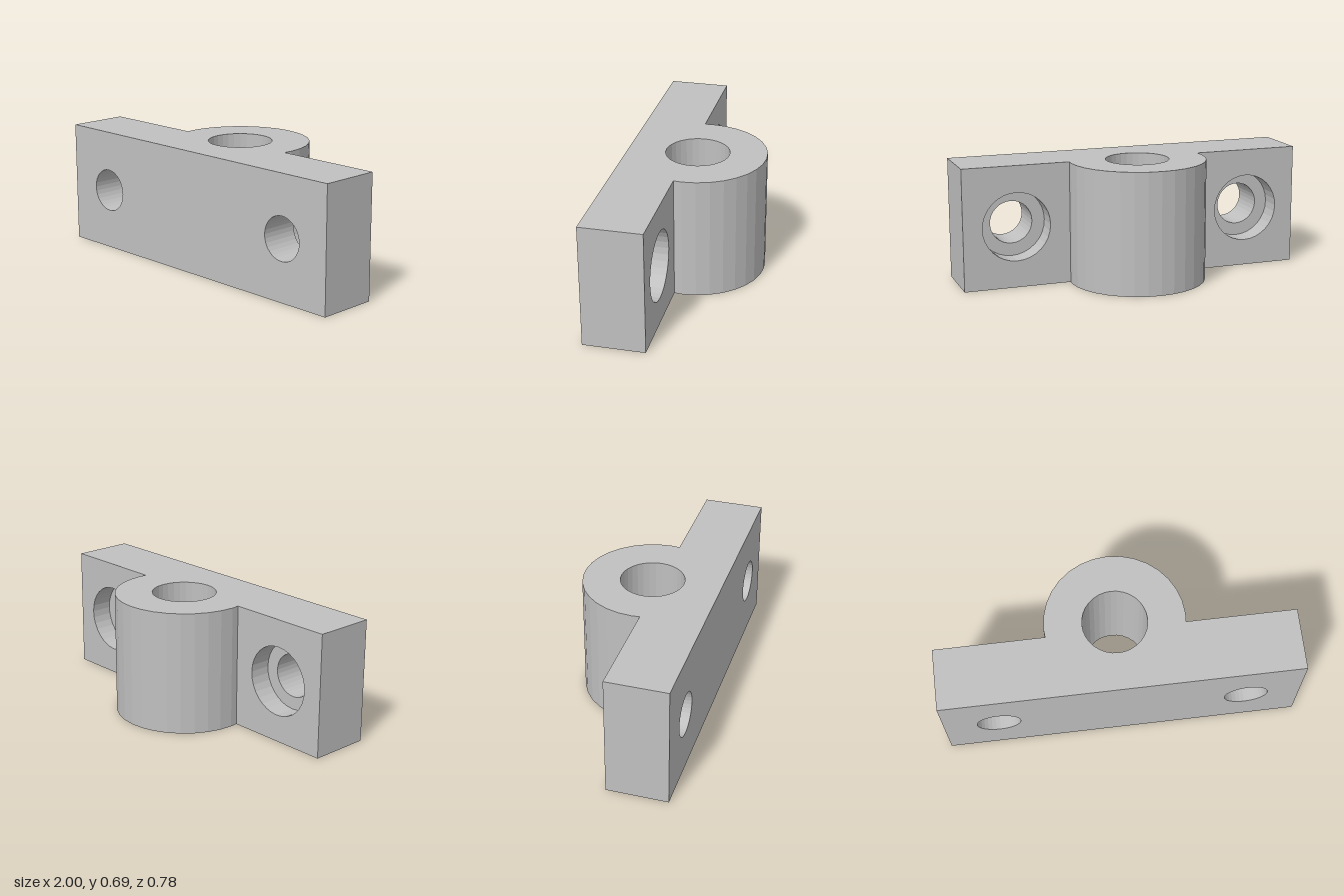
import * as THREE from 'three';

const HEIGHT = 0.695, FRONT = 0.39, BACK = 0.045;
const BOSS_R = 0.39, BORE_R = 0.18;
const HOLE_X = 0.695, HOLE_R = 0.122, COUNTERBORE_R = 0.195, COUNTERBORE_DEPTH = 0.125;
const SIDES = 32;
const STEP = (Math.PI * 2) / SIDES;

// Faceted circle as a list of points
function ring(cx, cy, r) {
  return Array.from({ length: SIDES }, (_, i) =>
    new THREE.Vector2(cx + r * Math.cos(i * STEP), cy + r * Math.sin(i * STEP)));
}

function extrude(outline, hole, depth) {
  const shape = new THREE.Shape(outline);
  shape.holes.push(new THREE.Path(hole));
  return new THREE.ExtrudeGeometry(shape, { depth, bevelEnabled: false });
}

export function createModel() {
  const model = new THREE.Group();
  model.name = 'mountingBracket';
  const metal = new THREE.MeshStandardMaterial({ color: 0xc0c0c0 });
  metal.name = 'grey metal';

  const add = (name, geometry) => {
    const mesh = new THREE.Mesh(geometry, metal);
    mesh.name = name;
    model.add(mesh);
  };

  // Where the boss facet meets the back of the plate
  const t = BACK / (BOSS_R * Math.sin(STEP));
  const joinX = BOSS_R * (1 - t * (1 - Math.cos(STEP)));

  // Central boss: half-round back, square front, vertical bore
  const outline = [[joinX, BACK], [joinX, FRONT], [-joinX, FRONT], [-joinX, BACK]]
    .map(([x, z]) => new THREE.Vector2(x, z));
  for (let i = SIDES / 2; i <= SIDES; i++) {
    outline.push(new THREE.Vector2(BOSS_R * Math.cos(i * STEP), BOSS_R * Math.sin(i * STEP)));
  }
  const boss = extrude(outline, ring(0, 0, BORE_R), HEIGHT);
  boss.rotateX(Math.PI / 2).translate(0, HEIGHT, 0);
  add('boss', boss);

  // Side flanges: a through-hole layer in front, a counterbored layer behind
  const floorZ = BACK + COUNTERBORE_DEPTH;
  for (const [side, s] of [['left', 1], ['right', -1]]) {
    const flange = [[joinX, 0], [1, 0], [1, HEIGHT], [joinX, HEIGHT]]
      .map(([x, y]) => new THREE.Vector2(s * x, y));
    const layer = (radius, z0, z1) =>
      extrude(flange, ring(s * HOLE_X, HEIGHT / 2, radius), z1 - z0).translate(0, 0, z0);
    add(side + 'FlangeFront', layer(HOLE_R, floorZ, FRONT));
    add(side + 'FlangeCounterbore', layer(COUNTERBORE_R, BACK, floorZ));
  }
  return model;
}
